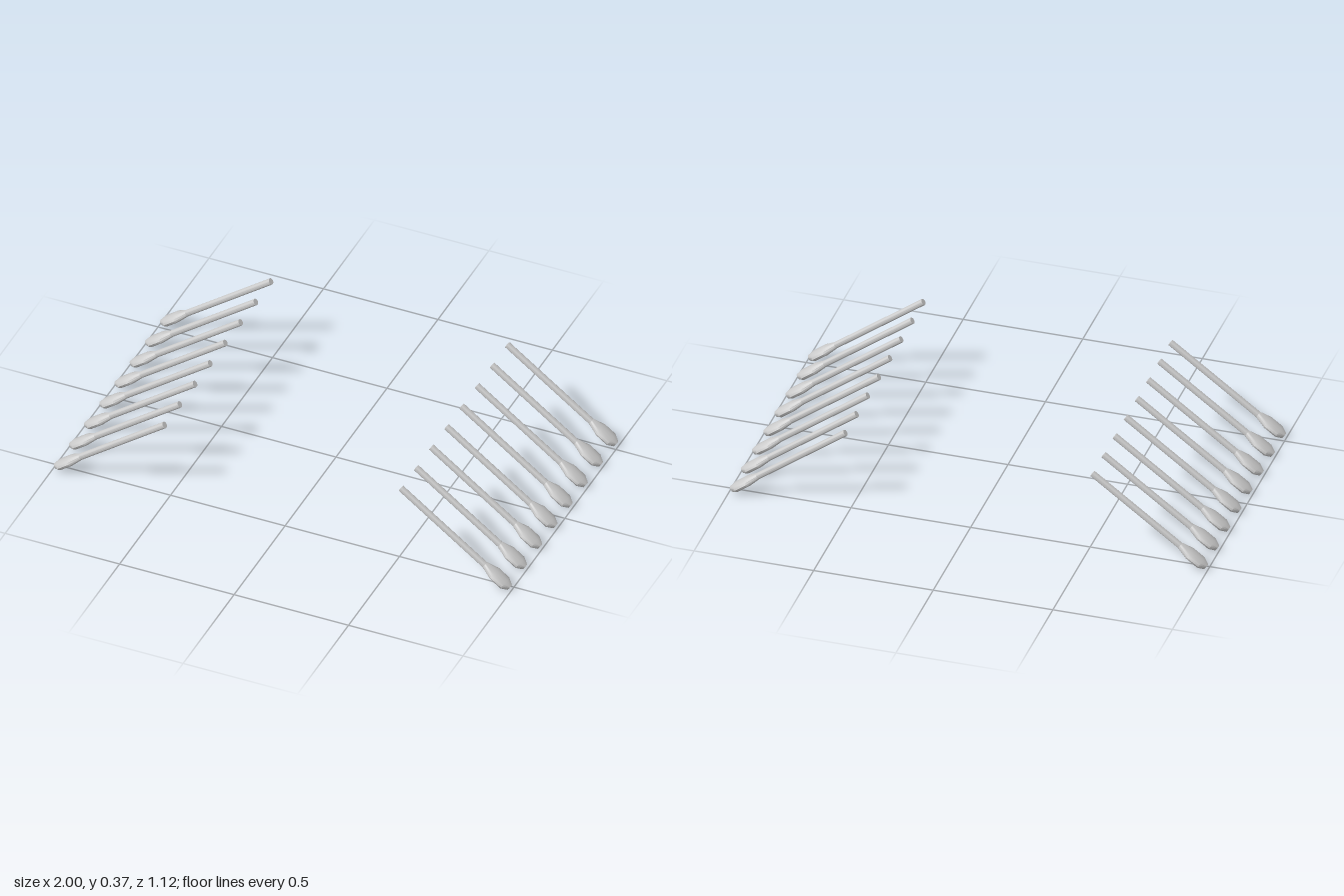
import * as THREE from 'three';
import { toCreasedNormals } from 'three/addons/utils/BufferGeometryUtils.js';

// Loft of elliptical sections [distance along oar, half width, half thickness]
function loft(sections) {
  const rows = sections.length - 1;
  const geo = new THREE.CylinderGeometry(1, 1, 1, 16, rows);
  const p = geo.attributes.position;
  for (let i = 0; i < p.count; i++) {
    const [d, w, t] = sections[Math.round((0.5 - p.getY(i)) * rows)];
    p.setXYZ(i, p.getX(i) * t, -d, p.getZ(i) * w);
  }
  return toCreasedNormals(geo, 0.7);
}

export function createModel() {
  const model = new THREE.Group();
  const material = new THREE.MeshStandardMaterial({ color: 0xcccccc });

  const shaftGeo = loft([[0, 0.0135, 0.0135], [0.46, 0.0135, 0.0135]]);
  const bladeGeo = loft([
    [0.455, 0.0135, 0.0135],
    [0.505, 0.0365, 0.019],
    [0.563, 0.0365, 0.019],
    [0.59, 0.013, 0.0135],
  ]);

  // Two mirrored banks of eight oars, sloping outward and down
  const tilt = THREE.MathUtils.degToRad(53.6);
  for (const side of [1, -1]) {
    const bank = new THREE.Group();
    bank.name = side > 0 ? 'leftOars' : 'rightOars';
    for (let i = 0; i < 8; i++) {
      const oar = new THREE.Group();
      oar.name = 'oar';
      const shaft = new THREE.Mesh(shaftGeo, material);
      shaft.name = 'shaft';
      const blade = new THREE.Mesh(bladeGeo, material);
      blade.name = 'blade';
      oar.add(shaft, blade);
      oar.position.set(side * 0.516, 0.361, (i - 3.5) * 0.149);
      oar.rotation.z = side * tilt;
      bank.add(oar);
    }
    model.add(bank);
  }
  return model;
}
